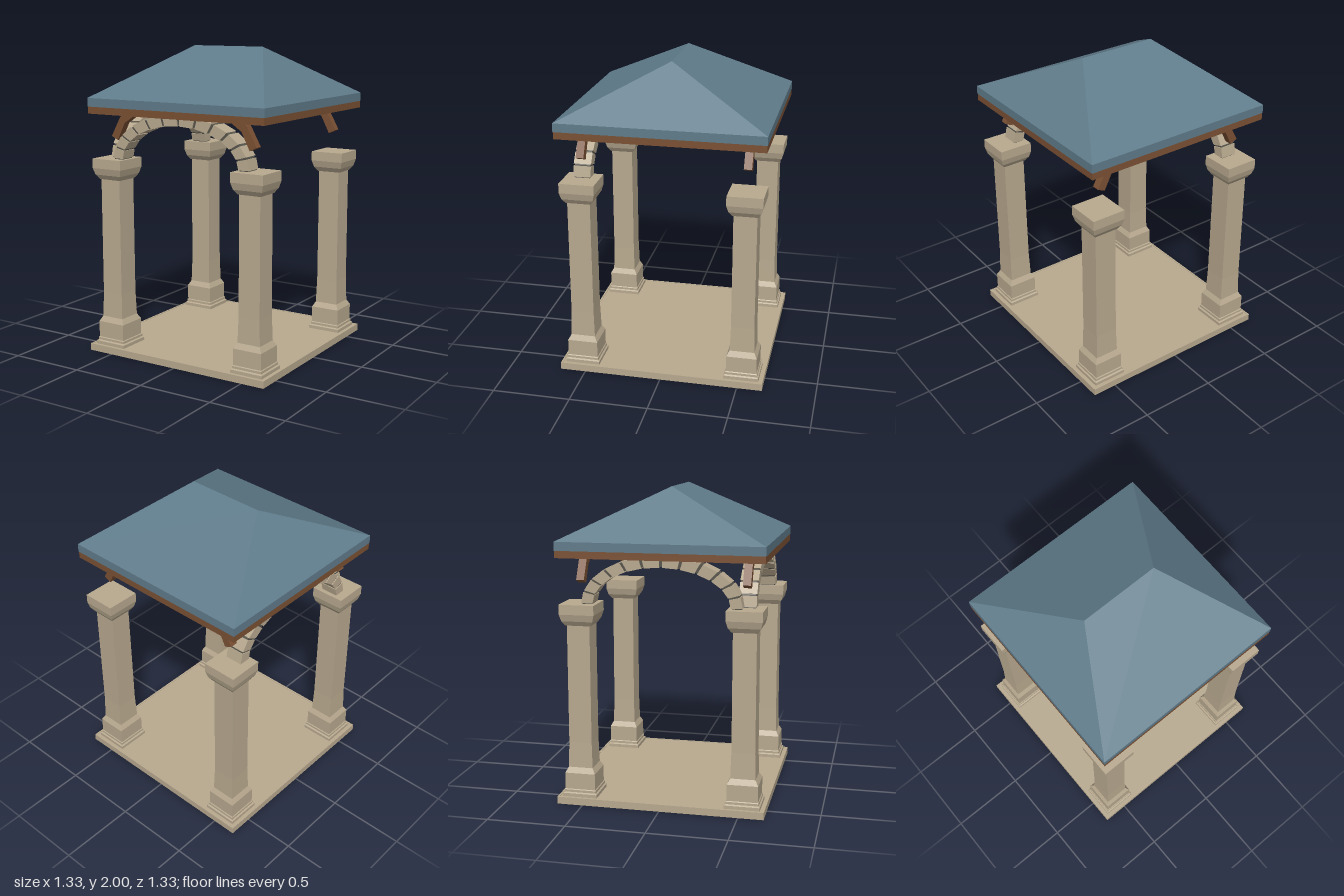
import * as THREE from 'three';

const paint = (name, color) => {
  const m = new THREE.MeshStandardMaterial({ color, flatShading: true });
  m.name = name;
  return m;
};

export function createModel() {
  const stone = paint('stone', 0xb8a98f);
  const mortar = paint('mortar', 0x55534a);
  const slate = paint('slate', 0x5f7b8a);
  const wood = paint('wood', 0x7a5033);

  const model = new THREE.Group();
  model.name = 'pavilion';

  const add = (parent, name, geometry, material, x = 0, y = 0, z = 0) => {
    const mesh = new THREE.Mesh(geometry, material);
    mesh.name = name;
    mesh.position.set(x, y, z);
    parent.add(mesh);
    return mesh;
  };
  const box = (parent, name, w, h, d, material, x, y, z) =>
    add(parent, name, new THREE.BoxGeometry(w, h, d), material, x, y, z);

  // Square ring made of four bars
  const squareRing = (name, half, t, y0, y1, material) => {
    const ring = new THREE.Group();
    ring.name = name;
    const h = y1 - y0, y = (y0 + y1) / 2;
    for (const s of [-1, 1]) {
      box(ring, name + 'Long', half * 2, h, t, material, 0, y, s * (half - t / 2));
      box(ring, name + 'Short', t, h, (half - t) * 2, material, s * (half - t / 2), y, 0);
    }
    model.add(ring);
  };

  // Prism from a flat outline, centred on its depth
  const prism = (points, depth) => {
    const shape = new THREE.Shape(points.map(([x, y]) => new THREE.Vector2(x, y)));
    return new THREE.ExtrudeGeometry(shape, { depth, bevelEnabled: false }).translate(0, 0, -depth / 2);
  };

  // Floor: thin plate with a deeper rim, hollow below
  box(model, 'floor', 1.31, 0.02, 1.31, stone, 0, 0.037, 0);
  squareRing('floorRim', 0.663, 0.012, 0.004, 0.05, stone);

  // Square columns: half width and height of each step
  const P = 0.522;
  const profile = [
    [0, 0], [0.112, 0], [0.112, 0.068], [0.103, 0.075], [0.103, 0.09], [0.098, 0.095],
    [0.098, 0.2], [0.079, 0.235], [0.074, 0.4], [0.073, 1.155], [0.08, 1.155],
    [0.1, 1.185], [0.112, 1.228], [0.112, 1.29], [0, 1.29],
  ].map(([r, y]) => new THREE.Vector2(r * Math.SQRT2, y));
  const columnGeometry = new THREE.LatheGeometry(profile, 4, Math.PI / 4);
  for (const sx of [-1, 1]) for (const sz of [-1, 1])
    add(model, 'column', columnGeometry, stone, sx * P, 0, sz * P);

  // Elliptical arch of twelve blocks around a recessed mortar core
  const band = (t0, t1, inset, depth) => {
    const steps = 3, outer = [], inner = [];
    for (let i = 0; i <= steps; i++) {
      const t = t0 + (t1 - t0) * (i / steps), c = Math.cos(t), s = Math.sin(t);
      outer.push([(0.505 - inset) * c, (0.31 - inset) * s]);
      inner.unshift([(0.432 + inset) * c, (0.24 + inset) * s]);
    }
    // straight block faces between joints
    return prism([outer[0], outer[steps], inner[0], inner[steps]], depth);
  };
  const makeArch = (name) => {
    const arch = new THREE.Group();
    arch.name = name;
    const n = 12, step = Math.PI / n, gap = 0.02;
    for (let i = 0; i < n; i++) {
      add(arch, 'archBlock', band(i * step + gap, (i + 1) * step - gap, 0, 0.112), stone);
      add(arch, 'archMortar', band(i * step, (i + 1) * step, 0.006, 0.1), mortar);
    }
    model.add(arch);
    return arch;
  };
  makeArch('frontArch').position.set(0, 1.29, P);
  const sideArch = makeArch('rightArch');
  sideArch.position.set(-P, 1.29, 0);
  sideArch.rotation.y = Math.PI / 2;

  // Curved wooden braces under the eaves, front and back
  const bracePoints = [
    [0.54, 1.433], [0.47, 1.56], [0.38, 1.618], [0.27, 1.628],
    [0.27, 1.588], [0.36, 1.572], [0.435, 1.522], [0.492, 1.41],
  ];
  const leftBrace = prism(bracePoints, 0.05);
  const rightBrace = leftBrace.clone().rotateY(Math.PI);
  for (const z of [-P, P]) {
    add(model, 'leftBrace', leftBrace, wood, 0, 0, z);
    add(model, 'rightBrace', rightBrace, wood, 0, 0, z);
  }

  // Eaves beams
  squareRing('eavesBeam', 0.648, 0.026, 1.58, 1.628, wood);

  // Hipped roof with a ridge along x
  const H = 0.65, R = 0.26, E = 1.68, T = 2;
  box(model, 'roofEdge', H * 2, 0.055, H * 2, slate, 0, E - 0.0275, 0);
  const a = [-H, E, H], b = [H, E, H], c = [H, E, -H], d = [-H, E, -H];
  const l = [-R, T, 0], r = [R, T, 0];
  const faces = [a, b, r, a, r, l, b, c, r, c, d, l, c, l, r, d, a, l];
  const hip = new THREE.BufferGeometry();
  hip.setAttribute('position', new THREE.Float32BufferAttribute(faces.flat(), 3));
  hip.computeVertexNormals();
  add(model, 'roof', hip, slate);

  return model;
}
